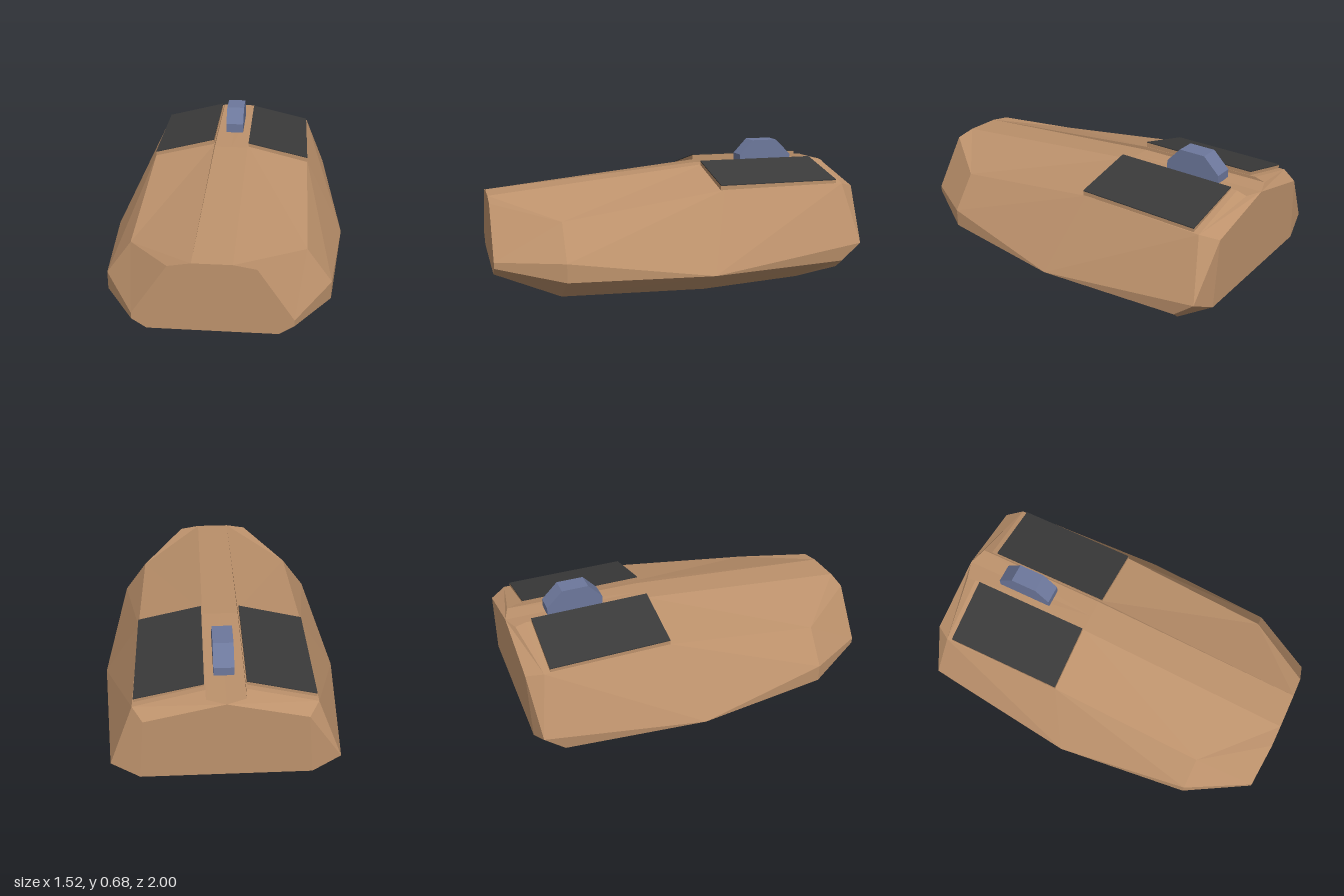
import * as THREE from 'three';

const paint = (color) => new THREE.MeshStandardMaterial({ color, flatShading: true });

// Left half of the hull: named corners as [half width, height, z]
const corners = {
  // floor
  a0: [0, 0, 0.632], a: [0.368, 0, 0.632], b: [0.44, 0, -0.06],
  c: [0.366, 0, -0.585], c0: [0, 0, -0.585],
  // lower side line, front to back
  d0: [0, 0.115, 0.942], d: [0.295, 0.115, 0.942], e: [0.535, 0.115, 0.628],
  f: [0.615, 0.115, -0.06], g: [0.533, 0.115, -0.757], u: [0.49, 0.075, -0.75],
  h: [0.4, 0.13, -0.88], h0: [0, 0.13, -0.88],
  // upper side line
  i: [0.362, 0.16, 0.942], v: [0.362, 0.19, 0.942], j: [0.535, 0.205, 0.628],
  k: [0.533, 0.2, -0.857],
  // shoulder
  l: [0.195, 0.437, 0.942], m: [0.413, 0.375, 0.628], n: [0.415, 0.485, -0.17],
  o: [0.42, 0.488, -0.8], p: [0.37, 0.465, -0.88],
  // inner edge of the roof panel
  q: [0.09, 0.455, 0.942], r: [0.09, 0.565, -0.17], s: [0.09, 0.572, -0.8],
  // sunken centre strip
  q0: [0, 0.455, 0.942], w: [0.09, 0.548, -0.17], w0: [0, 0.548, -0.17],
  x: [0.09, 0.558, -0.85], t: [0, 0.553, -0.88],
};

const faces = [
  'c0 c b a a0', 'a0 a d d0', 'c0 h0 h c', // underside
  'd0 d i v l q q0', 'a e d', 'd e i', 'i e j v', 'v j m l', // nose
  'a b f e', 'b c g f', 'c u g', 'c h u', 'u h k g', // lower chamfers
  'e f j', 'f g k', 'j f n m', 'f k o n', // flank
  'k p o', 'h p k', 'h0 t p h', // tail
  'm n r q l', 'n o s r', 'o p t x s', // roof
  'q r w', 'r s x w', 'q0 q w w0', 'w0 w x t', // centre strip
];

// Fans every face into triangles and mirrors it to the other side
function hullGeometry() {
  const positions = [];
  for (const face of faces) {
    const ring = face.split(' ').map((key) => corners[key]);
    for (let n = 1; n < ring.length - 1; n++) {
      const triangle = [ring[0], ring[n], ring[n + 1]];
      positions.push(...triangle.flat());
      positions.push(...triangle.reverse().flatMap(([x, y, z]) => [-x, y, z]));
    }
  }
  const geo = new THREE.BufferGeometry();
  geo.setAttribute('position', new THREE.Float32BufferAttribute(positions, 3));
  geo.computeVertexNormals();
  return geo;
}

// Straight prism: section in (x, y), running from z0 to z1
function prism(section, z0, z1) {
  const shape = new THREE.Shape(section.map(([x, y]) => new THREE.Vector2(x, y)));
  const geo = new THREE.ExtrudeGeometry(shape, { depth: z1 - z0, bevelEnabled: false });
  return geo.translate(0, 0, z0);
}

function addPart(parent, name, geometry, material) {
  const mesh = new THREE.Mesh(geometry, material);
  mesh.name = name;
  parent.add(mesh);
}

export function createModel() {
  const model = new THREE.Group();
  model.name = 'craft';
  const body = new THREE.Group();
  body.name = 'body';
  body.rotation.y = 0.356;
  body.position.set(0.039, 0, -0.014);
  model.add(body);

  const brown = paint(0xbd926c);
  const dark = paint(0x3a3a3a);
  const blue = paint(0x6d789c);

  addPart(body, 'hull', hullGeometry(), brown);

  // Raised roof pads with dark covers; the left one sits a little lower and further forward
  const pads = [
    { side: 'left', s: 1, top: 0.579, front: -0.152 },
    { side: 'right', s: -1, top: 0.587, front: -0.17 },
  ];
  for (const { side, s, top, front } of pads) {
    const riser = [[0.095, 0.54], [0.415, 0.465], [0.415, 0.505], [0.095, top]];
    const cover = [[0.095, top], [0.415, 0.505], [0.415, 0.51], [0.095, top + 0.005]];
    const place = (section) => prism(section.map(([x, y]) => [x * s, y]), -0.77, front);
    addPart(body, side + 'PadRiser', place(riser), brown);
    addPart(body, side + 'PadCover', place(cover), dark);
  }

  // Bevelled block on the centre strip, drawn in profile (-z, y)
  const profile = [
    [0.39, 0.54], [0.677, 0.54], [0.677, 0.595], [0.595, 0.675], [0.46, 0.675], [0.39, 0.6],
  ];
  const block = prism(profile, -0.045, 0.051).rotateY(Math.PI / 2);
  addPart(body, 'roofBlock', block, blue);

  return model;
}
